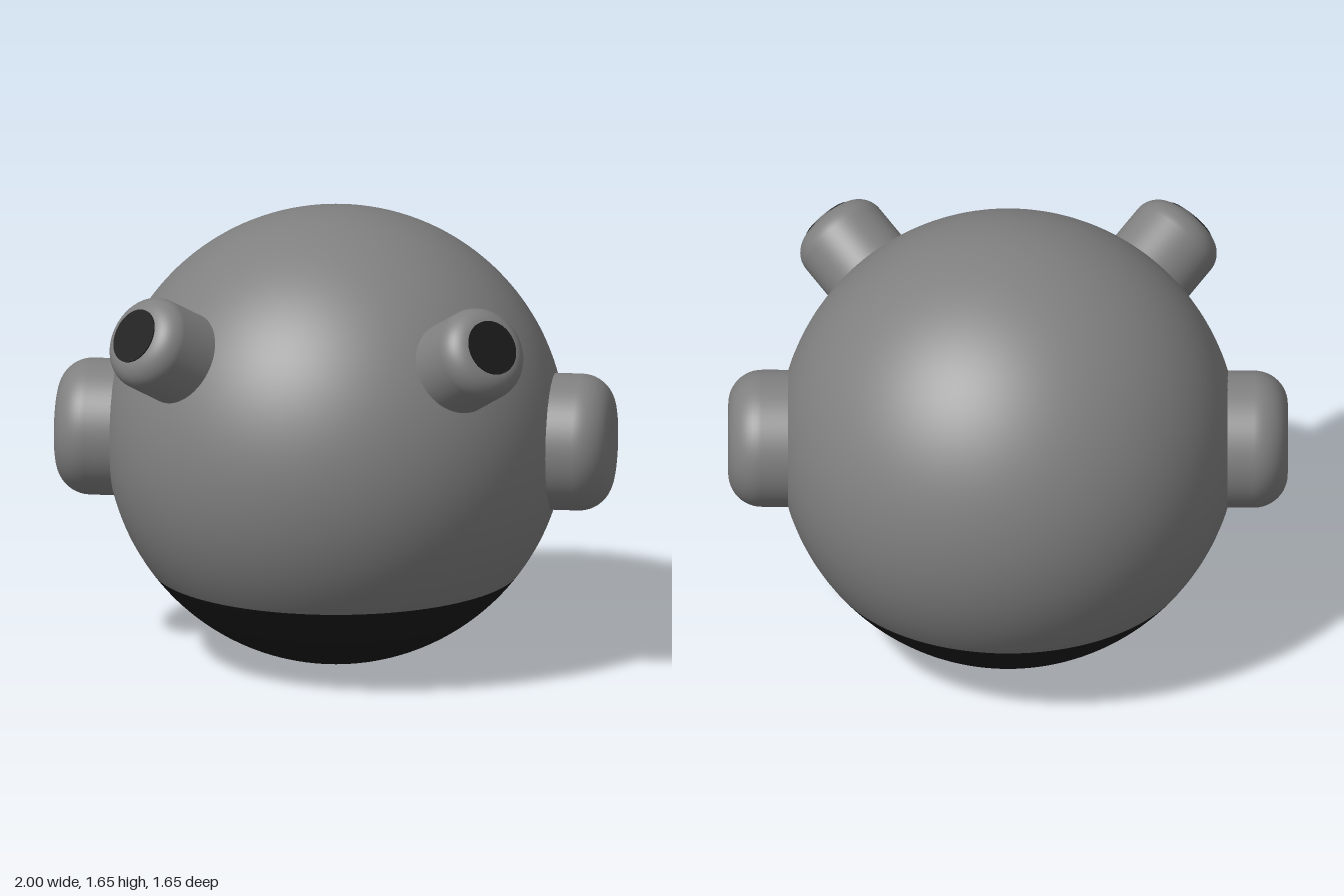
import * as THREE from 'three';

export function createModel() {
  const model = new THREE.Group();
  const grey = new THREE.MeshStandardMaterial({ color: 0x808080 });
  grey.name = 'grey shell';
  const dark = new THREE.MeshStandardMaterial({ color: 0x1a1a1a });
  dark.name = 'dark trim';

  const R = 0.823;
  const centre = new THREE.Vector3(0, R, 0);
  const split = Math.acos((0.33 - R) / R); // polar angle where the dark base starts

  function add(parent, name, geometry, material) {
    const mesh = new THREE.Mesh(geometry, material);
    mesh.name = name;
    parent.add(mesh);
    return mesh;
  }

  // Round-edged plug along +y, from the given start to end distance
  function plugGeometry(radius, fillet, start, end) {
    const path = [new THREE.Vector2(radius, start)];
    for (let i = 0; i <= 12; i++) {
      const a = (i / 12) * Math.PI / 2;
      path.push(new THREE.Vector2(
        radius - fillet + fillet * Math.cos(a),
        end - fillet + fillet * Math.sin(a)));
    }
    path.push(new THREE.Vector2(0, end));
    return new THREE.LatheGeometry(path, 64);
  }

  // Group at the body's centre whose +y points outwards along a direction
  function radialGroup(name, x, y, z) {
    const group = new THREE.Group();
    group.name = name;
    group.position.copy(centre);
    group.quaternion.setFromUnitVectors(
      new THREE.Vector3(0, 1, 0), new THREE.Vector3(x, y, z).normalize());
    model.add(group);
    return group;
  }

  // Spherical body in two zones
  add(model, 'body', new THREE.SphereGeometry(R, 96, 64, 0, Math.PI * 2, 0, split), grey)
    .position.copy(centre);
  add(model, 'base', new THREE.SphereGeometry(R, 96, 32, 0, Math.PI * 2, split, Math.PI - split), dark)
    .position.copy(centre);

  for (const [side, s] of [['left', 1], ['right', -1]]) {
    // Side hub
    const hub = radialGroup(side + 'Hub', s, 0, 0);
    add(hub, 'hubCap', plugGeometry(0.245, 0.12, 0.7, 1), grey);

    // Eye stalk with a dark lens
    const eye = radialGroup(side + 'Eye', s * 0.617, 0.49, 0.617);
    add(eye, 'eyeStalk', plugGeometry(0.17, 0.085, 0.7, 1.046), grey);
    add(eye, 'lens', new THREE.CylinderGeometry(0.1, 0.1, 0.006, 48), dark)
      .position.y = 1.046;
  }
  return model;
}
